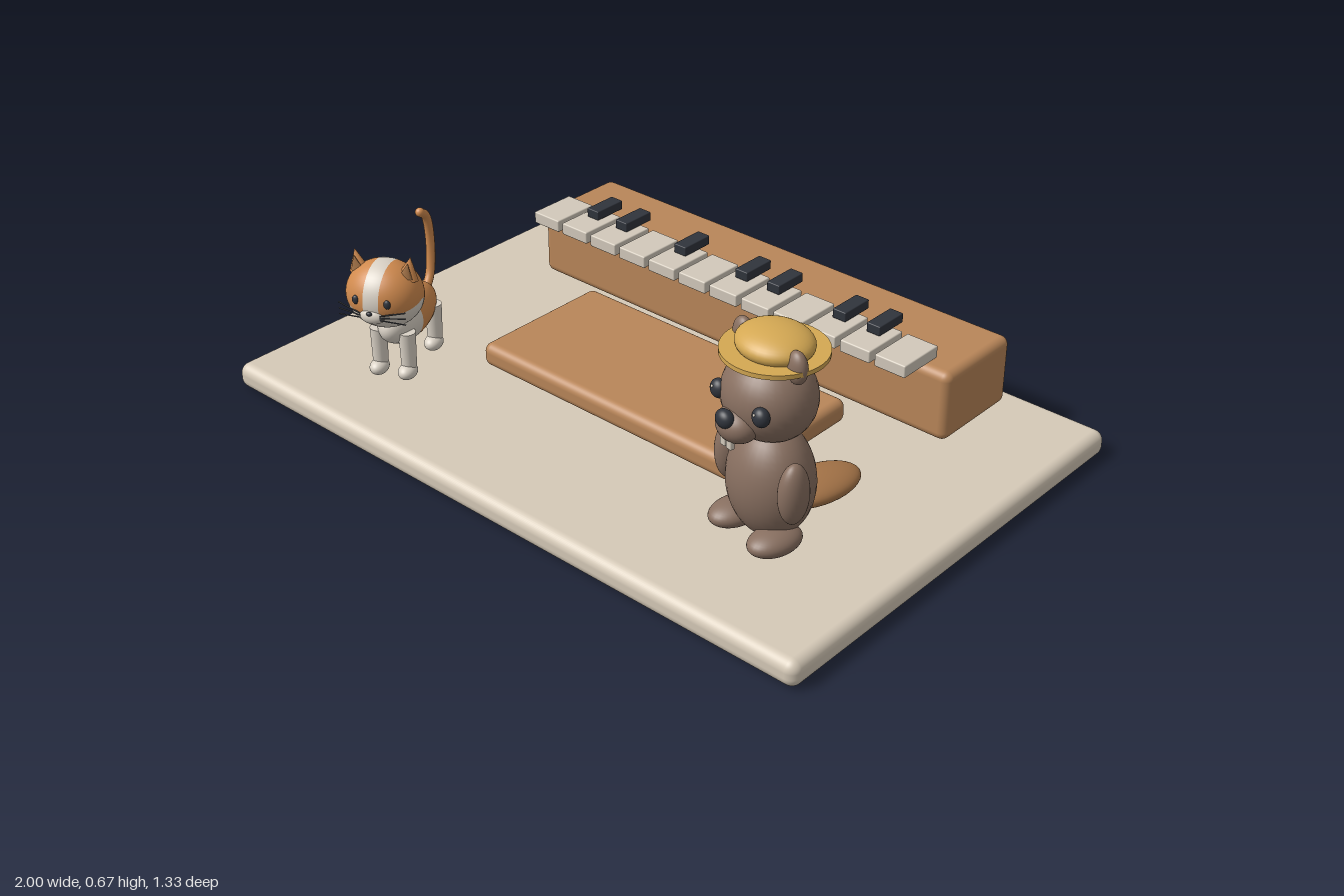
import * as THREE from 'three';
import { RoundedBoxGeometry } from 'three/addons/geometries/RoundedBoxGeometry.js';

const material = (name, color, side = THREE.FrontSide) => {
  const m = new THREE.MeshStandardMaterial({ color, side });
  m.name = name;
  return m;
};

export function createModel() {
  const stone = material('stone', 0xd6cab8);
  const wood = material('wood', 0xb98659);
  const ivory = material('ivory', 0xd2c9bb);
  const dark = material('charcoal', 0x30343c);
  const fur = material('brownFur', 0x886f60);
  const tailSkin = material('tailBrown', 0xa47347);
  const straw = material('straw', 0xd4a853);
  const ginger = material('gingerFur', 0xd08a4e);
  const cream = material('creamFur', 0xd9d1c5);

  const root = new THREE.Group();
  root.name = 'pianoScene';

  const add = (parent, name, geometry, mat, pos = [0, 0, 0], rot = [0, 0, 0]) => {
    const mesh = new THREE.Mesh(geometry, mat);
    mesh.name = name;
    mesh.position.set(...pos);
    mesh.rotation.set(...rot);
    parent.add(mesh);
    return mesh;
  };
  const slab = (parent, name, mat, size, pos, radius) =>
    add(parent, name, new RoundedBoxGeometry(...size, 5, radius), mat, pos);
  const ball = (parent, name, mat, radii, pos, rot) =>
    add(parent, name, new THREE.SphereGeometry(1, 32, 24).scale(...radii), mat, pos, rot);
  const both = (build) => [[1, 'left'], [-1, 'right']].forEach(([s, side]) => build(s, side));
  // thin rod between two points
  const rod = (parent, name, mat, a, b, r) => add(parent, name, new THREE.TubeGeometry(
    new THREE.LineCurve3(new THREE.Vector3(...a), new THREE.Vector3(...b)), 1, r, 6), mat);

  // base, cabinet and bench
  slab(root, 'base', stone, [2, 0.075, 1.33], [0, 0.0375, 0], 0.03);
  slab(root, 'pianoCabinet', wood, [1.46, 0.205, 0.29], [0, 0.192, -0.44], 0.025);
  slab(root, 'bench', wood, [0.935, 0.07, 0.445], [0, 0.12, -0.002], 0.025);

  // keyboard
  const keyboard = new THREE.Group();
  keyboard.name = 'keyboard';
  root.add(keyboard);
  const keyX = (i) => (i - 5.5) * 0.1123 - 0.01;
  for (let i = 0; i < 12; i++)
    slab(keyboard, 'whiteKey', ivory, [0.097, 0.036, 0.145], [keyX(i), 0.319, -0.275], 0.004);
  for (const i of [1, 2, 4, 6, 7, 9, 10])
    slab(keyboard, 'blackKey', dark, [0.043, 0.028, 0.104], [keyX(i), 0.352, -0.333], 0.003);

  // beaver
  const beaver = new THREE.Group();
  beaver.name = 'beaver';
  beaver.position.set(0.643, 0, 0.318);
  beaver.rotation.y = -0.22;
  root.add(beaver);
  ball(beaver, 'body', fur, [0.12, 0.155, 0.105], [0, 0.255, 0]);
  ball(beaver, 'head', fur, [0.125, 0.115, 0.113], [0, 0.495, 0.012]);
  ball(beaver, 'muzzle', fur, [0.058, 0.045, 0.05], [0, 0.445, 0.105]);
  ball(beaver, 'nose', dark, [0.027, 0.024, 0.02], [0, 0.472, 0.143]);
  ball(beaver, 'tail', tailSkin, [0.072, 0.034, 0.13], [0, 0.176, -0.145]);
  both((s, side) => {
    ball(beaver, side + 'Arm', fur, [0.034, 0.083, 0.042], [s * 0.123, 0.285, 0.03]);
    ball(beaver, side + 'Foot', fur, [0.052, 0.033, 0.076], [s * 0.077, 0.133, 0.045]);
    ball(beaver, side + 'Ear', fur, [0.032, 0.043, 0.022], [s * 0.1, 0.613, 0.015]);
    ball(beaver, side + 'Eye', dark, [0.024, 0.025, 0.02], [s * 0.08, 0.5, 0.1]);
    ball(beaver, side + 'EyeGlint', ivory, [0.004, 0.004, 0.003], [s * 0.08 - 0.004, 0.51, 0.118]);
    slab(beaver, side + 'Tooth', ivory, [0.02, 0.036, 0.014], [s * 0.0115, 0.41, 0.134], 0.004);
  });
  add(beaver, 'hatBrim', new THREE.CylinderGeometry(0.132, 0.132, 0.012, 40), straw, [0, 0.61, 0]);
  ball(beaver, 'hatCrown', straw, [0.102, 0.042, 0.092], [0, 0.63, 0]);

  // cat
  const cat = new THREE.Group();
  cat.name = 'cat';
  cat.position.set(-0.64, 0, 0.34);
  cat.rotation.y = 0.4;
  root.add(cat);

  // body with ginger back half and cream chest
  const bodyPart = (name, mat, start, length) => add(cat, name,
    new THREE.SphereGeometry(1, 32, 16, 0, Math.PI * 2, start, length)
      .rotateX(Math.PI / 2).scale(0.064, 0.07, 0.135), mat, [0, 0.235, -0.01]);
  bodyPart('chest', cream, 0, 1.35);
  bodyPart('back', ginger, 1.35, Math.PI - 1.35);

  // head in patches: ginger sides, cream stripe and cream lower face
  const head = new THREE.Group();
  head.name = 'catHead';
  head.position.set(0.01, 0.37, 0.13);
  cat.add(head);
  const patch = (name, mat, phi0, phiLen, th0, thLen) => add(head, name,
    new THREE.SphereGeometry(1, 32, 16, phi0, phiLen, th0, thLen)
      .rotateZ(-Math.PI / 2).scale(0.108, 0.095, 0.093), mat);
  const low = 1.85, edge = 1.36;
  patch('leftPatch', ginger, -low, 2 * low, 0, edge);
  patch('rightPatch', ginger, -low, 2 * low, Math.PI - edge, edge);
  patch('foreheadStripe', cream, -low, 2 * low, edge, Math.PI - 2 * edge);
  patch('lowerFace', cream, low, 2 * Math.PI - 2 * low, 0, Math.PI);
  ball(head, 'muzzle', cream, [0.036, 0.022, 0.02], [0, -0.03, 0.082]);
  ball(head, 'nose', dark, [0.008, 0.006, 0.006], [0, -0.015, 0.1]);
  both((s, side) => {
    add(head, side + 'Ear', new THREE.ConeGeometry(0.03, 0.065, 20).scale(1, 1, 0.6),
      ginger, [s * 0.076, 0.088, 0], [0, 0, -s * 0.18]);
    add(head, side + 'InnerEar', new THREE.ConeGeometry(0.019, 0.045, 16).scale(1, 1, 0.4),
      tailSkin, [s * 0.075, 0.085, 0.013], [0, 0, -s * 0.18]);
    ball(head, side + 'Eye', dark, [0.01, 0.013, 0.007], [s * 0.046, 0.012, 0.083]);
    for (const k of [-1, 0, 1])
      rod(head, side + 'Whisker', dark, [s * 0.028, -0.026 + k * 0.006, 0.095],
        [s * 0.098, -0.022 + k * 0.018, 0.082], 0.002);
    for (const [z, end] of [[0.085, 'Front'], [-0.085, 'Back']]) {
      add(cat, side + end + 'Leg', new THREE.CylinderGeometry(0.024, 0.021, 0.13, 20),
        cream, [s * 0.043, 0.165, z]);
      ball(cat, side + end + 'Paw', cream, [0.026, 0.022, 0.034], [s * 0.043, 0.111, z + 0.01]);
    }
  });

  // upright curved tail
  const tailPath = new THREE.CatmullRomCurve3([
    [0, 0.24, -0.13], [0, 0.28, -0.165], [0, 0.38, -0.178],
    [0, 0.46, -0.16], [0, 0.488, -0.125],
  ].map((p) => new THREE.Vector3(...p)));
  add(cat, 'tail', new THREE.TubeGeometry(tailPath, 28, 0.013, 12), ginger);
  ball(cat, 'tailTip', ginger, [0.013, 0.013, 0.013], [0, 0.488, -0.125]);

  return root;
}
